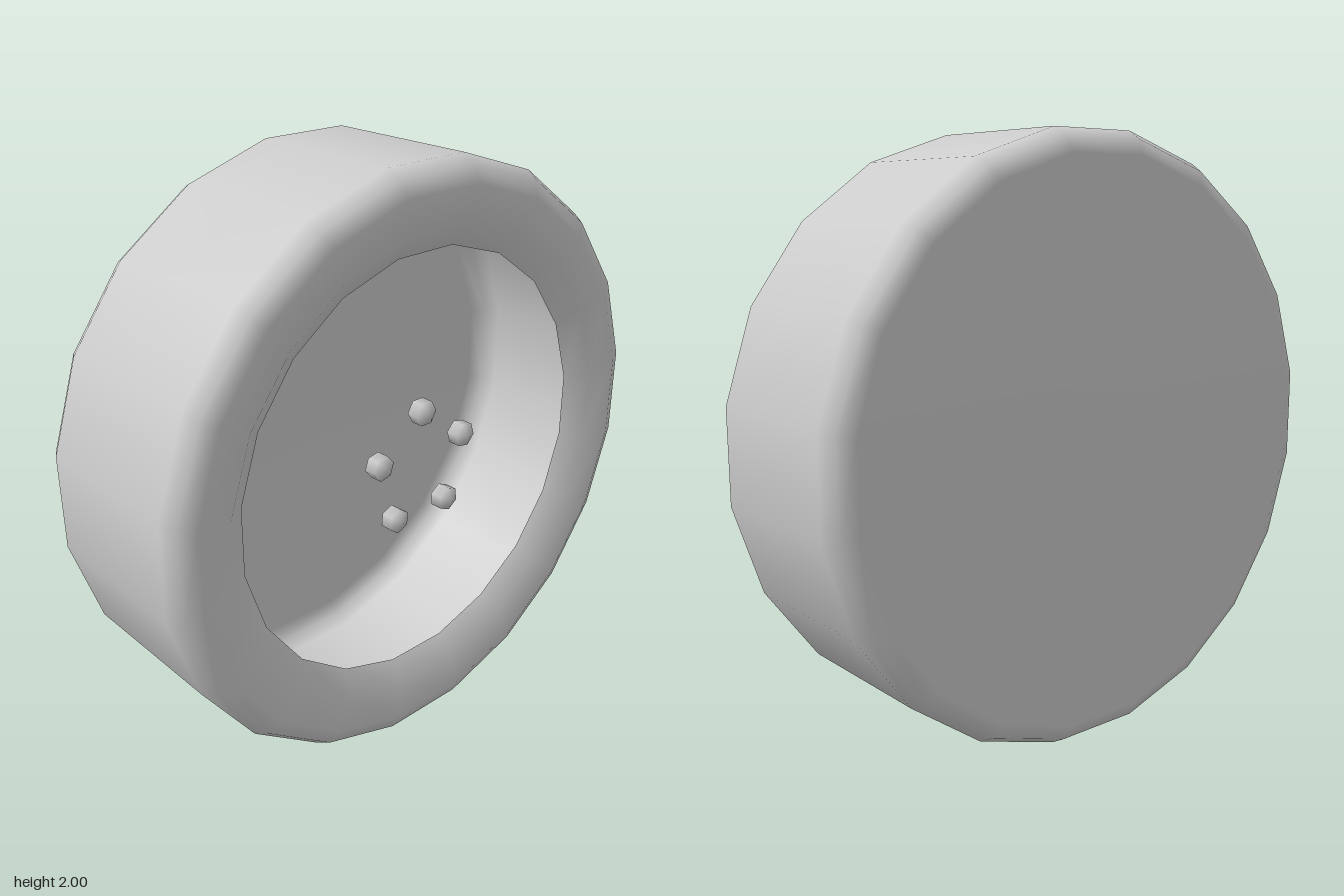
import * as THREE from 'three';

const SIDES = 20;
// profile radii are measured to the flats of the 20-sided outline
const TO_CORNER = 1 / Math.cos(Math.PI / SIDES);

export function createModel() {
  const material = new THREE.MeshStandardMaterial({ color: 0xcccccc });
  const shellMaterial = new THREE.MeshStandardMaterial({ color: 0xcccccc, side: THREE.DoubleSide });
  const wheel = new THREE.Group();
  wheel.name = 'wheel';

  // tyre: one hollow shell, closed on one side, with bevelled shoulders
  // and a side wall curving in to an open rim; revolved about the x axis
  const profile = [
    [0, -0.355], [0.92, -0.355], [0.972, -0.33], [1, -0.28],
    [1, 0.28], [0.972, 0.33], [0.92, 0.355],
    [0.8, 0.34], [0.725, 0.285],
  ].map(([r, x]) => new THREE.Vector2(r * TO_CORNER, x));
  const tyreGeometry = new THREE.LatheGeometry(profile, SIDES, Math.PI / SIDES);
  tyreGeometry.rotateZ(-Math.PI / 2);
  const tyre = new THREE.Mesh(tyreGeometry, shellMaterial);
  tyre.name = 'tyre';
  wheel.add(tyre);

  // five wheel nuts in a ring, each turned with its place
  const nutGeometry = new THREE.SphereGeometry(0.05, 6, 3);
  nutGeometry.rotateZ(-Math.PI / 2);
  nutGeometry.rotateX(Math.PI / 2);
  nutGeometry.scale(0.85, 1, 1);
  const nuts = new THREE.Group();
  nuts.name = 'wheelNuts';
  for (let i = 0; i < 5; i++) {
    const angle = (i / 5) * Math.PI * 2;
    const nut = new THREE.Mesh(nutGeometry, material);
    nut.name = 'wheelNut';
    nut.position.set(0.285, 0.195 * Math.cos(angle), 0.195 * Math.sin(angle));
    nut.rotation.x = angle;
    nuts.add(nut);
  }
  wheel.add(nuts);

  wheel.position.y = 1;
  const model = new THREE.Group();
  model.name = 'model';
  model.add(wheel);
  return model;
}
